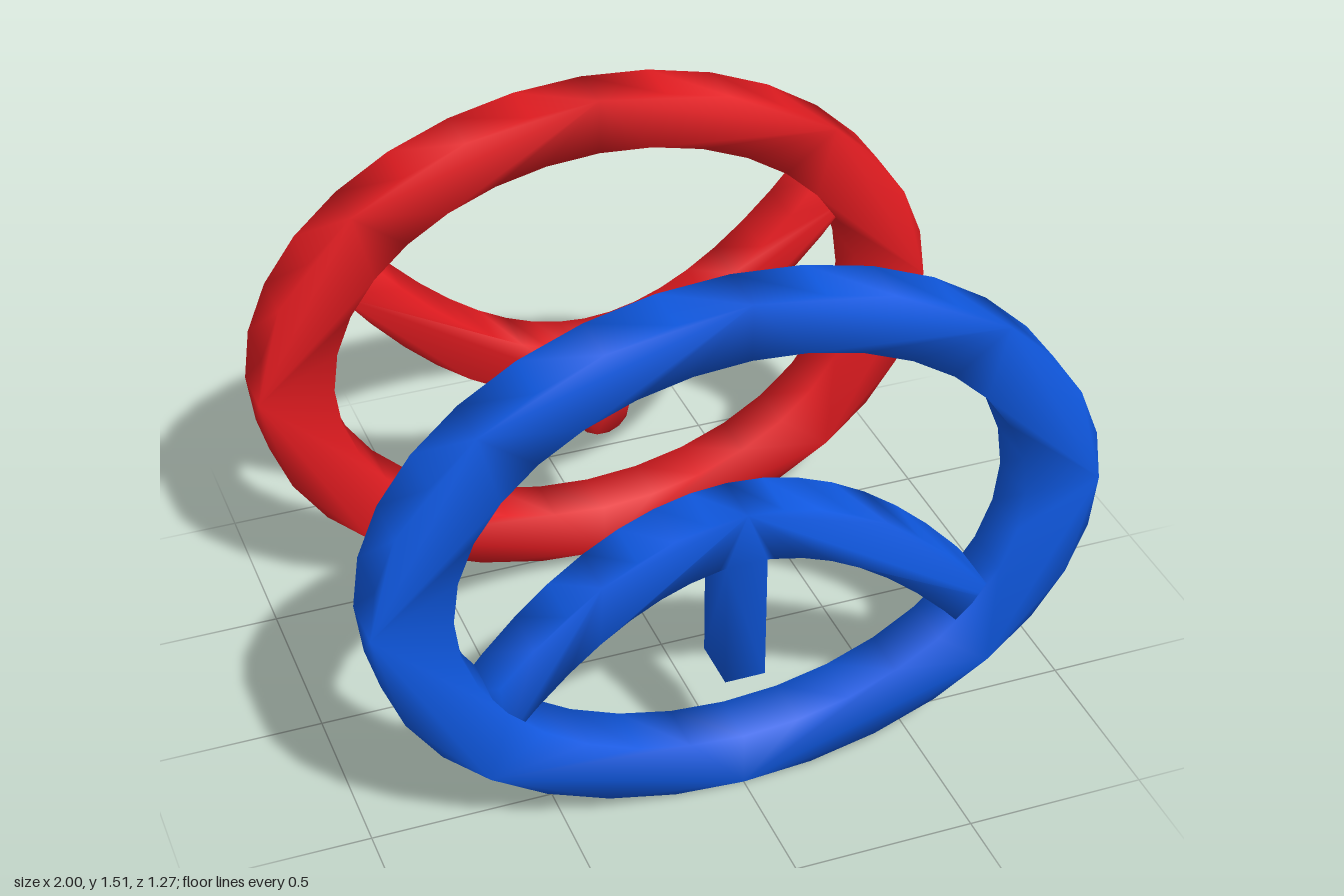
import * as THREE from 'three';
import { mergeVertices } from 'three/addons/utils/BufferGeometryUtils.js';

const DEPTH = 0.153;

// Points of an ellipse
function ellipse(cx, cy, rx, ry, n) {
  return Array.from({ length: n }, (_, i) => {
    const a = (i / n) * Math.PI * 2;
    return new THREE.Vector2(cx + rx * Math.cos(a), cy + ry * Math.sin(a));
  });
}

// Flat slab from an outline, with normals shared across its edges for a soft look
function slab(name, outline, material, z, hole) {
  const shape = new THREE.Shape(outline);
  if (hole) shape.holes.push(new THREE.Path(hole));
  let geometry = new THREE.ExtrudeGeometry(shape, { depth: DEPTH, bevelEnabled: false });
  geometry.deleteAttribute('uv');
  geometry.deleteAttribute('normal');
  geometry = mergeVertices(geometry, 1e-4);
  geometry.computeVertexNormals();
  const mesh = new THREE.Mesh(geometry, material);
  mesh.name = name;
  mesh.position.z = z - DEPTH / 2;
  return mesh;
}

// One edge of the arched band, offset from its centre parabola, from left end to right end
function archEdge(side, n = 16) {
  return Array.from({ length: n + 1 }, (_, i) => {
    const t = (i / n) * 2 - 1;
    const x = 0.71 * t;
    const slope = -1.25 * t;
    const half = (0.075 - 0.0125 * t * t) * side;
    const len = Math.hypot(1, slope);
    return new THREE.Vector2(x - (slope / len) * half, 0.805 - 0.445 * t * t + half / len);
  });
}

// Arched band; with a post it hangs a straight stem from the middle
function archOutline(withPost) {
  let inner = archEdge(-1);
  if (withPost) {
    const w = 0.056;
    const stem = [[-w, 0.728], [-w, 0.355], [w, 0.355], [w, 0.728]];
    inner = [
      ...inner.filter((p) => p.x < -w - 0.005),
      ...stem.map(([x, y]) => new THREE.Vector2(x, y)),
      ...inner.filter((p) => p.x > w + 0.005),
    ];
  }
  return [...inner, ...archEdge(1).reverse()];
}

export function createModel() {
  const model = new THREE.Group();
  model.name = 'ovalSigns';
  const blue = new THREE.MeshStandardMaterial({ color: 0x0f58e0 });
  const red = new THREE.MeshStandardMaterial({ color: 0xe01b20 });

  // Oval rings, front and back
  const signs = [['front', blue, 0.557], ['back', red, -0.553]].map(([side, material, z]) => {
    const group = new THREE.Group();
    group.name = side + 'Sign';
    group.position.z = z;
    group.add(slab(side + 'Ring', ellipse(0, 0.755, 1, 0.755, 32), material, 0,
      ellipse(0, 0.755, 0.785, 0.595, 32)));
    model.add(group);
    return group;
  });

  // Front: arch with hanging post
  signs[0].add(slab('archWithPost', archOutline(true), blue, -0.005));

  // Back: the arch turned upside down, with a round stud below
  const flipped = archOutline(false).map((p) => new THREE.Vector2(p.x, 1.455 - p.y));
  signs[1].add(slab('invertedArch', flipped, red, -0.005));
  signs[1].add(slab('stud', ellipse(0, 0.5, 0.08, 0.08, 14), red, -0.005));

  return model;
}
